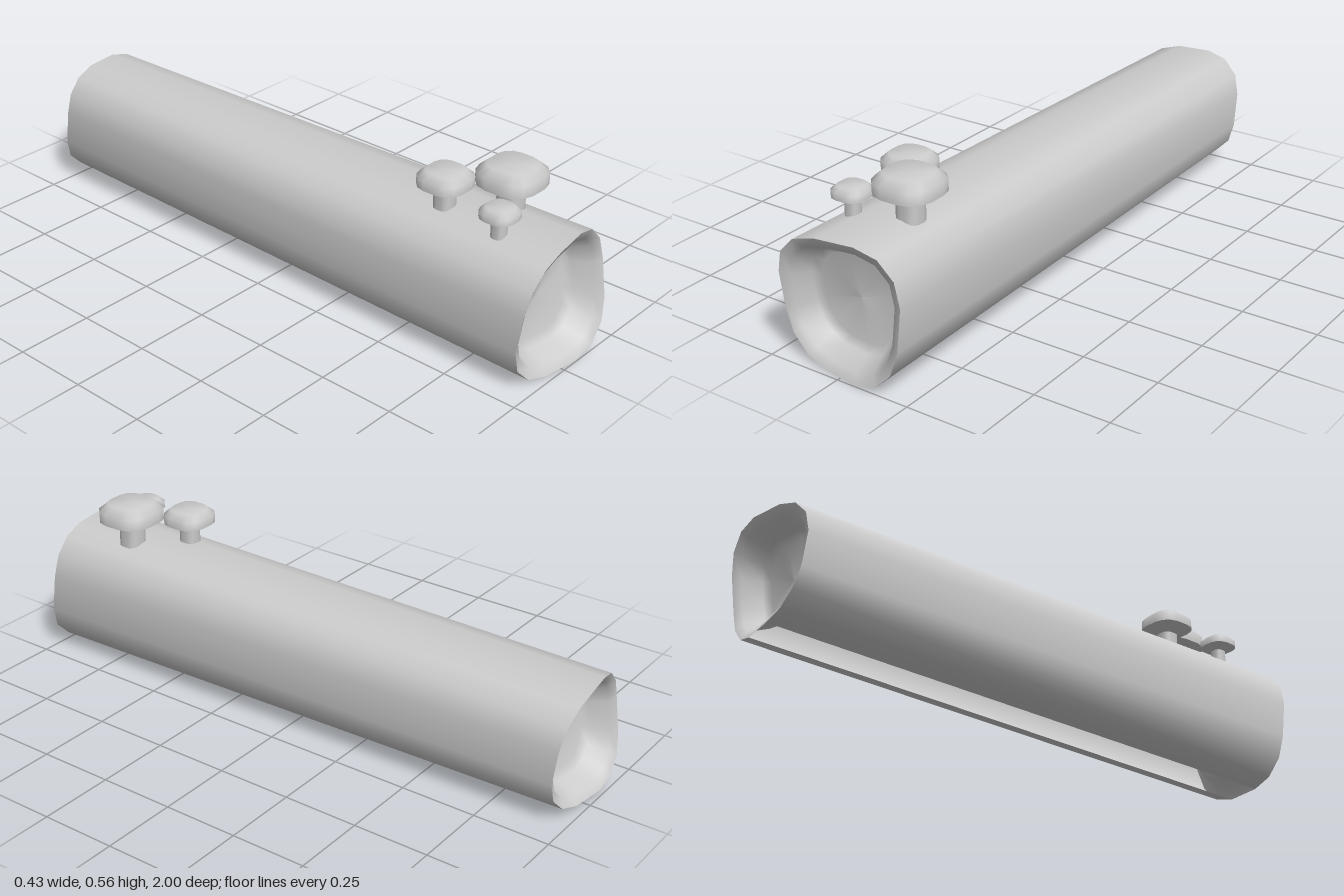
import * as THREE from 'three';

const material = new THREE.MeshStandardMaterial({ color: 0xcccccc, side: THREE.DoubleSide });

// Rounded-square cross-section, 16 points counter-clockwise, half width 1
const corner = [[1, 0.3], [0.9, 0.65], [0.65, 0.9], [0.3, 1]];
const section = [];
for (let q = 0; q < 4; q++) {
  for (const [x, y] of corner) {
    section.push([[x, y], [-y, x], [-x, -y], [y, -x]][q]);
  }
}
const N = section.length;
const BOTTOM = 11; // index of the flat segment facing down

// Smooth skin through scaled sections; each ring is { s, z }, z a number or a rule by angle
function loft(rings, skip = -1) {
  const pos = [], idx = [];
  for (const { s, z } of rings) {
    for (const [x, y] of section) {
      pos.push(x * s, y * s, typeof z === 'function' ? z(Math.atan2(y, x)) : z);
    }
  }
  for (let i = 0; i < rings.length - 1; i++) {
    for (let j = 0; j < N; j++) {
      if (j === skip) continue;
      const k = (j + 1) % N;
      const a = i * N + j, b = i * N + k, c = a + N, d = b + N;
      idx.push(a, b, d, a, d, c);
    }
  }
  const geo = new THREE.BufferGeometry();
  geo.setAttribute('position', new THREE.Float32BufferAttribute(pos, 3));
  geo.setIndex(idx);
  geo.computeVertexNormals();
  return geo;
}

function addMesh(parent, name, geo) {
  const mesh = new THREE.Mesh(geo, material);
  mesh.name = name;
  parent.add(mesh);
  return mesh;
}

// Mushroom: stem, sloping underside and domed cap of half width s
function mushroom(name, x, z, s, capY) {
  const group = new THREE.Group();
  group.name = name;
  group.position.set(x, capY, z);
  const upright = (part, rings) => addMesh(group, part, loft(rings).rotateX(-Math.PI / 2));
  upright('stem', [{ s: 0.4 * s, z: 0.4 - capY }, { s: 0.4 * s, z: 0.02 * s }]);
  upright('capUnderside', [{ s: 0.4 * s, z: 0 }, { s, z: 0.26 * s }]);
  upright('cap', [
    { s, z: 0.26 * s }, { s, z: 0.65 * s }, { s: 0.72 * s, z: 0.9 * s }, { s: 0, z: 0.9 * s },
  ]);
  return group;
}

export function createModel() {
  const model = new THREE.Group();
  model.name = 'log';
  const log = new THREE.Group();
  log.name = 'trunk';
  log.position.y = 0.2125;
  model.add(log);

  // Wavy cut at each end
  const front = (t) => 0.982 + 0.018 * Math.cos(2 * (t - 2.18));
  const back = (t) => -0.982 - 0.018 * Math.cos(2 * (t - 1.13));
  const R = 0.2125, r = 0.19;

  // Tapered bark, open along the flat underside
  addMesh(log, 'bark', loft([{ s: r, z: back }, { s: R, z: front }], BOTTOM));

  // Hollowed ends: [scale, depth] from rim to centre
  const dish = [[1, 0], [0.86, 0.015], [0.73, 0.075], [0.63, 0.095], [0, 0.1]];
  const endRings = (size, cut, dir) => dish.map(([k, depth]) => ({
    s: size * k,
    z: (t) => dir * 0.982 + (cut(t) - dir * 0.982) * k - dir * depth,
  }));
  addMesh(log, 'frontHollow', loft(endRings(R, front, 1)));
  addMesh(log, 'backHollow', loft(endRings(r, back, -1).reverse()));

  // Mushrooms on top
  model.add(
    mushroom('largeMushroom', 0.066, 0.73, 0.097, 0.476),
    mushroom('mediumMushroom', -0.055, 0.58, 0.077, 0.468),
    mushroom('smallMushroom', -0.087, 0.8, 0.055, 0.46),
  );
  return model;
}
